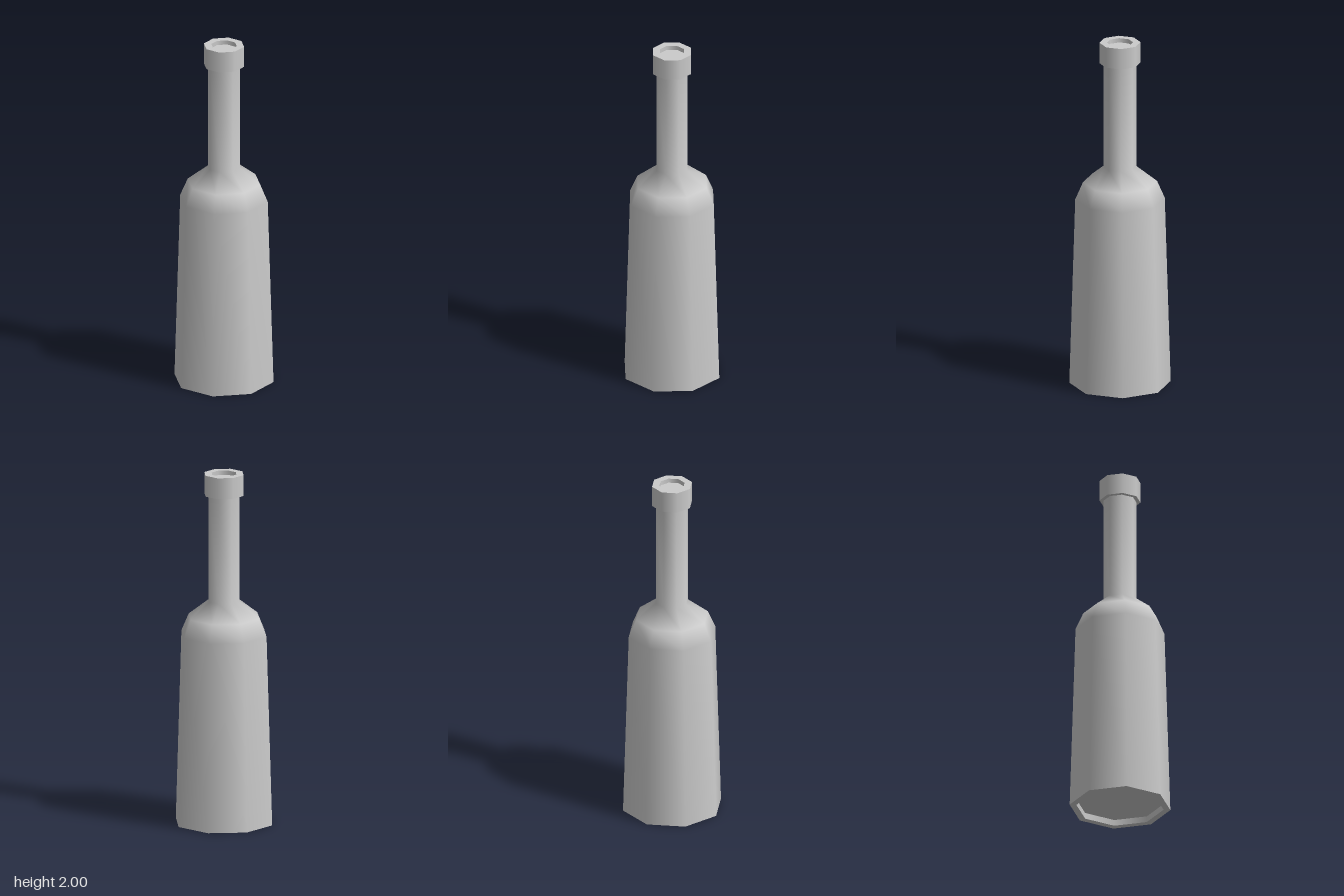
import * as THREE from 'three';

const SIDES = 8;

export function createModel() {
  const group = new THREE.Group();
  group.name = 'bottle';
  const material = new THREE.MeshStandardMaterial({ color: 0xcccccc });

  // Turns a profile of [radius, height] pairs; smooth within one profile, sharp between profiles
  function turn(name, profile) {
    const points = profile.map(([r, y]) => new THREE.Vector2(r, y));
    const mesh = new THREE.Mesh(new THREE.LatheGeometry(points, SIDES), material);
    mesh.name = name;
    group.add(mesh);
  }

  // Sunken base
  turn('baseFloor', [[0, 0.035], [0.245, 0.035]]);
  turn('baseRecessWall', [[0.245, 0.035], [0.245, 0]]);
  turn('baseRim', [[0.245, 0], [0.283, 0]]);

  // Tapered body, shoulder and neck in one smooth skin
  turn('bodyAndNeck', [
    [0.283, 0], [0.25, 1.08], [0.207, 1.18], [0.092, 1.27], [0.092, 1.88],
  ]);

  // Collar round the mouth
  turn('collarUnderside', [[0.092, 1.88], [0.115, 1.88]]);
  turn('collarWall', [[0.115, 1.88], [0.115, 2]]);
  turn('collarTop', [[0.115, 2], [0.073, 2]]);

  // Shallow mouth
  turn('mouthWall', [[0.073, 2], [0.073, 1.975]]);
  turn('mouthFloor', [[0.073, 1.975], [0, 1.975]]);

  return group;
}
